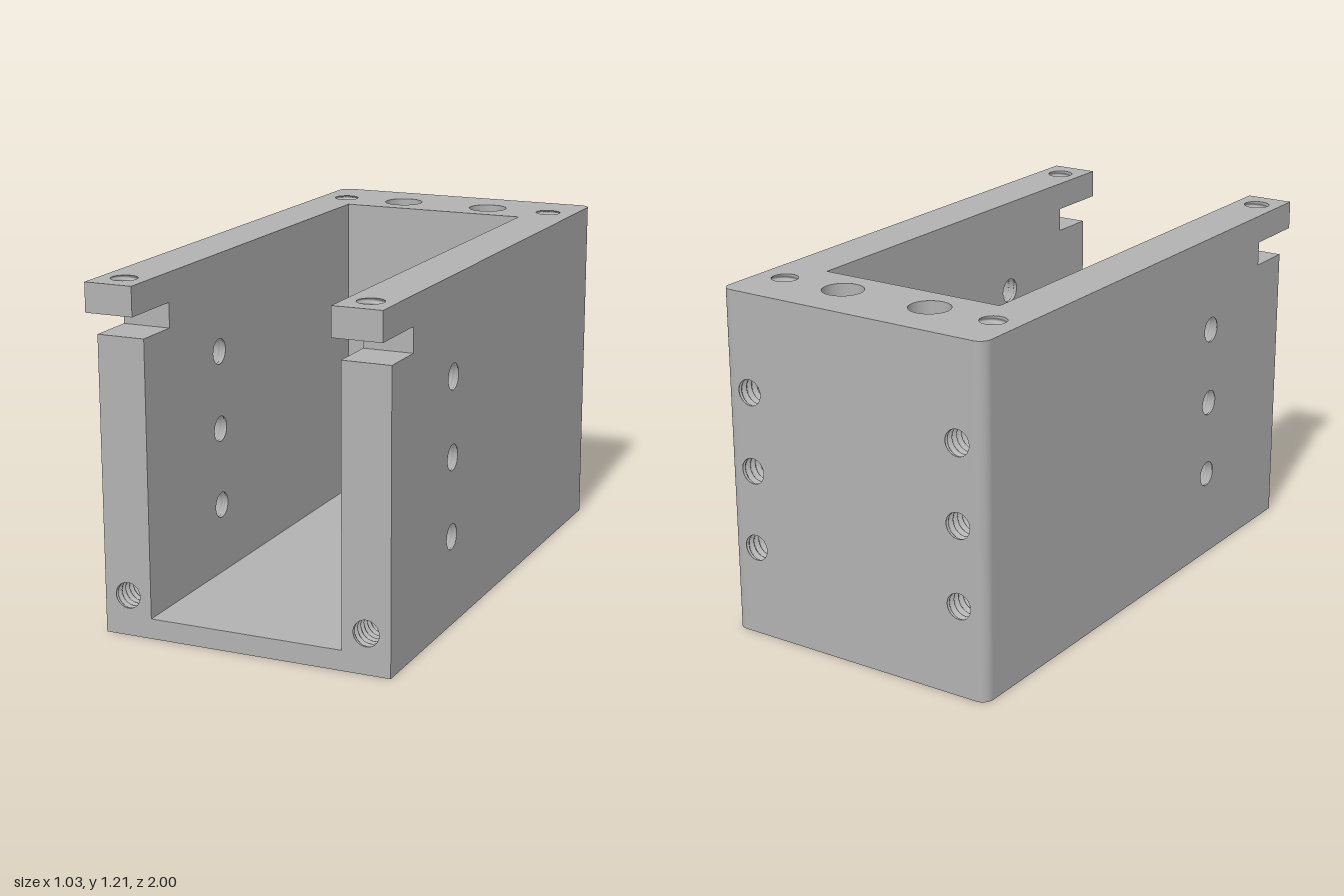
import * as THREE from 'three';
import { ParametricGeometry } from 'three/addons/geometries/ParametricGeometry.js';

// Main dimensions
const W = 0.515, IN = 0.345, H = 1.205, FLOOR = 0.07;
const BACK = -1, POCKET = -0.665, FRONT = 0.93, TIP = 1;
const SLOT_Z = 0.76, SLOT_LOW = 1.02, SLOT_HIGH = 1.105, R = 0.04;
const BORE = 0.045, PITCH = 0.025, GROOVE = 0.009, SEG = 32;
const ROWS = [0.315, 0.59, 0.865];

const rect = (a0, b0, a1, b1) => [[a0, b0], [a1, b0], [a1, b1], [a0, b1]];

// Rounded back edge of the plan outline, from the +x side round to the -x side
function backEdge() {
  const pts = [];
  for (const s of [1, -1]) {
    for (let i = 0; i <= 8; i++) {
      const t = (s > 0 ? i : 8 - i) / 8 * Math.PI / 2;
      pts.push([s * (W - R + R * Math.cos(t)), BACK + R - R * Math.sin(t)]);
    }
  }
  return pts;
}

// Inward-facing bore wall running down -z from its mouth, with a helical thread if asked
function boreWall(r, depth, threaded) {
  const stacks = threaded ? Math.ceil(depth / PITCH * 6) : 1;
  return new ParametricGeometry((u, v, p) => {
    const a = u * Math.PI * 2, d = v * depth;
    const fade = Math.min(1, d / 0.008, (depth - d) / 0.008);
    const wave = 0.5 - 0.5 * Math.cos(2 * Math.PI * (d / PITCH + u));
    const rad = r + (threaded ? GROOVE * Math.max(0, fade) * wave : 0);
    p.set(rad * Math.cos(a), rad * Math.sin(a), -d);
  }, SEG, stacks);
}

// Closed end of a bore: flat, or a drill point when tip > 0
function boreEnd(r, depth, tip) {
  let g = new THREE.CircleGeometry(r, SEG);
  g.attributes.position.setZ(0, -tip);
  g = g.toNonIndexed();
  g.computeVertexNormals();
  return g.translate(0, 0, -depth);
}

export function createModel() {
  const model = new THREE.Group();
  const metal = new THREE.MeshStandardMaterial({ color: 0xb2b2b2 });

  // Flat face across an axis, with holes and their bores.
  // Points are (z,y) across x, (x,z) across y, and (x,y) across z.
  function panel(name, axis, dir, offset, outline, holes = []) {
    const map = {
      x: ([z, y]) => [-dir * z, y],
      y: ([x, z]) => [x, -dir * z],
      z: ([x, y]) => [dir * x, y],
    }[axis];
    const group = new THREE.Group();
    group.name = name;
    if (axis === 'x') group.rotation.y = dir * Math.PI / 2;
    if (axis === 'y') group.rotation.x = -dir * Math.PI / 2;
    if (axis === 'z' && dir < 0) group.rotation.y = Math.PI;
    group.position[axis] = offset;

    const add = (geometry, part, a = 0, b = 0) => {
      const mesh = new THREE.Mesh(geometry, metal);
      mesh.name = part;
      mesh.position.set(a, b, 0);
      group.add(mesh);
    };
    const shape = new THREE.Shape(outline.map(p => new THREE.Vector2(...map(p))));
    for (const { at, r = BORE, depth = 0, threaded = true, closed = false, tip = 0 } of holes) {
      const [a, b] = map(at);
      const path = new THREE.Path();
      path.absarc(a, b, r, 0, Math.PI * 2, false);
      shape.holes.push(path);
      if (depth) add(boreWall(r, depth, threaded), threaded ? 'threadedBore' : 'plainBore', a, b);
      if (closed) add(boreEnd(r, depth, tip), 'boreEnd', a, b);
    }
    add(new THREE.ShapeGeometry(shape, SEG / 2), name + 'Face');
    model.add(group);
  }

  const both = fn => [1, -1].map(fn);

  // Top rim with screw holes, dowel holes and arm-tip holes
  panel('topRim', 'y', 1, H, [
    [-W, TIP], [-IN, TIP], [-IN, POCKET], [IN, POCKET], [IN, TIP], [W, TIP], ...backEdge(),
  ], [
    ...both(s => ({ at: [s * 0.413, -0.8], depth: 0.25, closed: true })),
    ...both(s => ({ at: [s * 0.172, -0.8], r: 0.07, depth: 0.6, threaded: false, closed: true })),
    ...both(s => ({ at: [s * 0.43, 0.895], depth: H - SLOT_HIGH })),
  ]);

  // Underside
  panel('underside', 'y', -1, 0, [[-W, FRONT], [W, FRONT], ...backEdge()]);

  // Pocket floor and pocket end wall
  panel('pocketFloor', 'y', 1, FLOOR, rect(-IN, POCKET, IN, FRONT));
  panel('pocketEnd', 'z', 1, POCKET, rect(-IN, FLOOR, IN, H));

  // U-shaped front with two drilled and tapped holes
  panel('front', 'z', 1, FRONT, [
    [-W, 0], [W, 0], [W, SLOT_LOW], [IN, SLOT_LOW], [IN, FLOOR],
    [-IN, FLOOR], [-IN, SLOT_LOW], [-W, SLOT_LOW],
  ], both(s => ({ at: [s * 0.43, 0.14], depth: 0.25, closed: true, tip: 0.03 })));

  // Back with two columns of tapped holes
  panel('back', 'z', -1, BACK, rect(-W + R, 0, W - R, H),
    both(s => ROWS.map(y => ({ at: [s * 0.413, y], depth: 0.25, closed: true }))).flat());

  // Side walls, slots and overhanging arms
  for (const s of [1, -1]) {
    const side = s > 0 ? 'left' : 'right';
    const edge = (z, y) => [
      [z, y], [FRONT, y], [FRONT, SLOT_LOW], [SLOT_Z, SLOT_LOW],
      [SLOT_Z, SLOT_HIGH], [TIP, SLOT_HIGH], [TIP, H], [z, H],
    ];
    panel(side + 'OuterWall', 'x', s, s * W, edge(BACK + R, 0),
      ROWS.map(y => ({ at: [0.415, y], depth: W - IN })));
    panel(side + 'InnerWall', 'x', -s, s * IN, edge(POCKET, FLOOR),
      ROWS.map(y => ({ at: [0.415, y] })));

    const [x0, x1] = s > 0 ? [IN, W] : [-W, -IN];
    panel(side + 'ArmTip', 'z', 1, TIP, rect(x0, SLOT_HIGH, x1, H));
    panel(side + 'ArmUnderside', 'y', -1, SLOT_HIGH, rect(x0, SLOT_Z, x1, TIP),
      [{ at: [s * 0.43, 0.895] }]);
    panel(side + 'SlotEnd', 'z', 1, SLOT_Z, rect(x0, SLOT_LOW, x1, SLOT_HIGH));
    panel(side + 'SlotFloor', 'y', 1, SLOT_LOW, rect(x0, SLOT_Z, x1, FRONT));

    // Rounded vertical back corner
    const corner = new THREE.Mesh(new THREE.CylinderGeometry(
      R, R, H, 8, 1, true, s > 0 ? Math.PI / 2 : Math.PI, Math.PI / 2), metal);
    corner.name = side + 'BackCorner';
    corner.position.set(s * (W - R), H / 2, BACK + R);
    model.add(corner);
  }
  return model;
}
